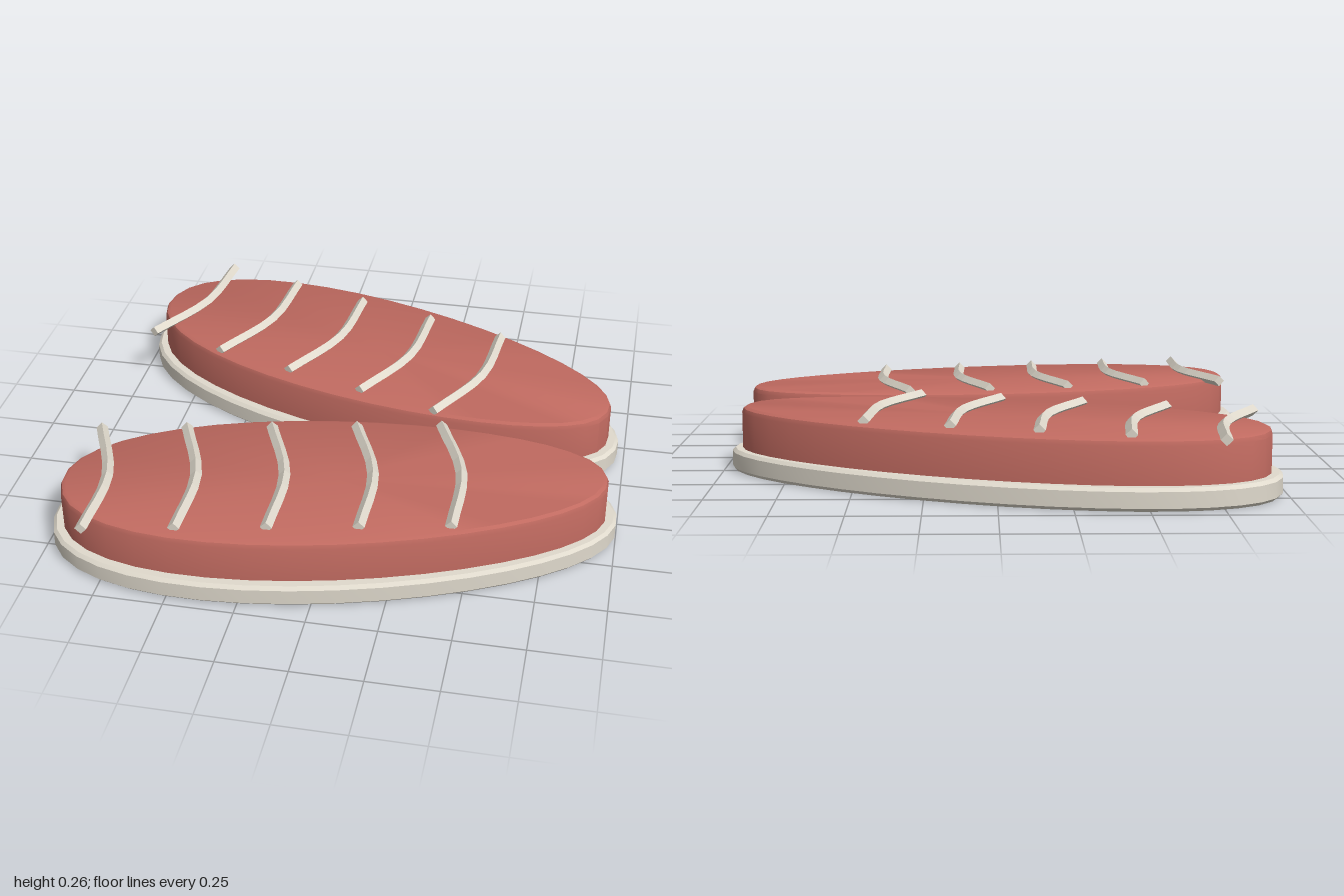
import * as THREE from 'three';
import { toCreasedNormals } from 'three/addons/utils/BufferGeometryUtils.js';

const HALF_LENGTH = 1.016, HALF_WIDTH = 0.424, TAPER = 0.12, SIDES = 40;

// Point on the egg-shaped outline, pulled in by an inset (null gives the centre).
function outlinePoint(angle, inset, y) {
  if (inset === null) return [0, y, 0];
  const c = Math.cos(angle), s = Math.sin(angle);
  const across = Math.sign(s) * Math.pow(Math.abs(s), 0.92) * (1 - TAPER * c);
  return [(HALF_LENGTH - inset) * c, y, (HALF_WIDTH - inset) * across];
}

// Closed solid lofted through outline rings, given as [inset, y] from bottom to top.
function loft(profile) {
  const positions = [];
  for (let j = 0; j < profile.length - 1; j++) {
    const [lo, hi] = [profile[j], profile[j + 1]];
    for (let i = 0; i < SIDES; i++) {
      const t0 = (i / SIDES) * Math.PI * 2, t1 = ((i + 1) % SIDES / SIDES) * Math.PI * 2;
      const a = outlinePoint(t0, ...lo), b = outlinePoint(t1, ...lo);
      const c = outlinePoint(t0, ...hi), d = outlinePoint(t1, ...hi);
      if (hi[0] !== null) positions.push(...a, ...c, ...d);
      if (lo[0] !== null) positions.push(...a, ...d, ...b);
    }
  }
  const geometry = new THREE.BufferGeometry();
  geometry.setAttribute('position', new THREE.Float32BufferAttribute(positions, 3));
  return toCreasedNormals(geometry, 0.5);
}

export function createModel() {
  const meatRed = new THREE.MeshStandardMaterial({ color: 0xc06a60 });
  meatRed.name = 'meat red';
  const cream = new THREE.MeshStandardMaterial({ color: 0xe0dacd });
  cream.name = 'fat cream';

  const rimGeometry = loft([
    [null, 0], [0.012, 0], [0, 0.012], [0, 0.068], [0.012, 0.08], [null, 0.08],
  ]);
  const meatGeometry = loft([
    [null, 0.04], [0.04, 0.04], [0.04, 0.213], [0.046, 0.228], [0.06, 0.235], [null, 0.235],
  ]);

  // Bowed, ridged strip of fat running across the cut, with closed ends.
  const curve = new THREE.CatmullRomCurve3([
    new THREE.Vector3(0, 0, -0.312), new THREE.Vector3(0.055, 0, 0), new THREE.Vector3(0, 0, 0.312),
  ]);
  const stripGeometry = new THREE.TubeGeometry(curve, 8, 0.021, 4, false).toNonIndexed();
  stripGeometry.computeVertexNormals();
  const capGeometry = new THREE.CircleGeometry(0.021, 4);

  function makeStrip() {
    const strip = new THREE.Group();
    strip.name = 'fatStrip';
    const tube = new THREE.Mesh(stripGeometry, cream);
    tube.name = 'stripBody';
    strip.add(tube);
    for (const t of [0, 1]) {
      const cap = new THREE.Mesh(capGeometry, cream);
      cap.name = 'stripEnd';
      cap.position.copy(curve.getPoint(t));
      const outward = curve.getTangent(t).multiplyScalar(t ? 1 : -1);
      cap.lookAt(cap.position.clone().add(outward));
      strip.add(cap);
    }
    return strip;
  }

  // One cut: rim, meat and five strips.
  function makeCut(name, x, z, turn, stripShift) {
    const cut = new THREE.Group();
    cut.name = name;
    const rim = new THREE.Mesh(rimGeometry, cream);
    rim.name = 'fatRim';
    const meat = new THREE.Mesh(meatGeometry, meatRed);
    meat.name = 'meat';
    cut.add(rim, meat);
    for (let i = 0; i < 5; i++) {
      const strip = makeStrip();
      strip.position.set(-0.865 + i * 0.315, 0.243, stripShift);
      cut.add(strip);
    }
    cut.position.set(x, 0, z);
    cut.rotation.y = turn;
    return cut;
  }

  const model = new THREE.Group();
  model.name = 'meatCuts';
  model.add(makeCut('frontCut', 0, 0.482, 0.2, -0.012));
  model.add(makeCut('backCut', -0.005, -0.428, -0.3, 0.012));
  return model;
}
